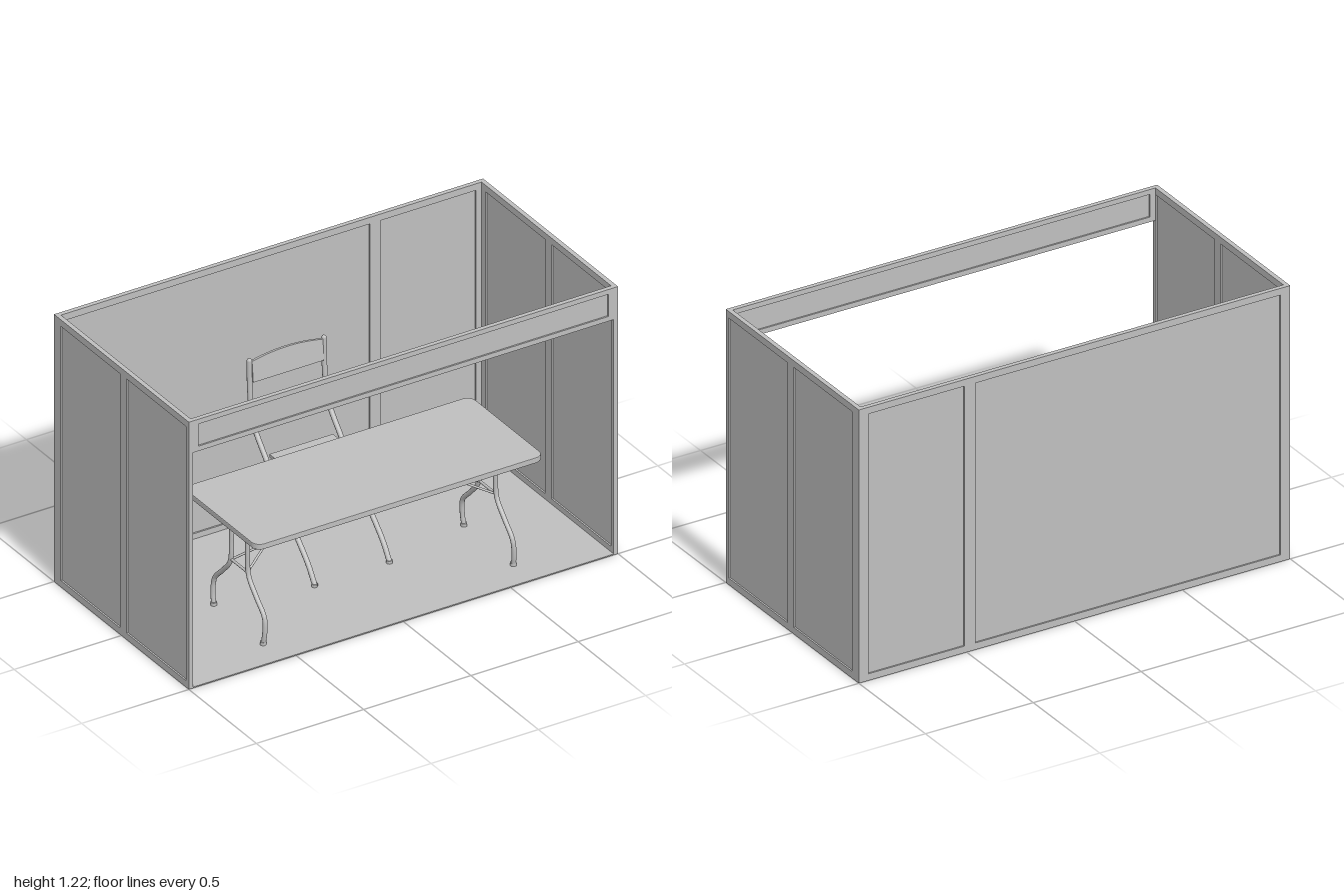
import * as THREE from 'three';

const grey = new THREE.MeshStandardMaterial({ color: 0xbfbfbf });
grey.name = 'grey';

function add(parent, name, geometry, x = 0, y = 0, z = 0) {
  const mesh = new THREE.Mesh(geometry, grey);
  mesh.name = name;
  mesh.position.set(x, y, z);
  parent.add(mesh);
  return mesh;
}

// box given by its lower and upper limits
function block(parent, name, [x0, x1], [y0, y1], [z0, z1]) {
  return add(parent, name, new THREE.BoxGeometry(x1 - x0, y1 - y0, z1 - z0),
    (x0 + x1) / 2, (y0 + y1) / 2, (z0 + z1) / 2);
}

function tube(parent, name, points, radius, segments = 24) {
  const curve = new THREE.CatmullRomCurve3(points.map(p => new THREE.Vector3(...p)));
  return add(parent, name, new THREE.TubeGeometry(curve, segments, radius, 10));
}

function rod(parent, name, a, b, radius) {
  const from = new THREE.Vector3(...a), to = new THREE.Vector3(...b);
  const mesh = add(parent, name, new THREE.CylinderGeometry(radius, radius, from.distanceTo(to), 10));
  mesh.position.copy(from).add(to).multiplyScalar(0.5);
  mesh.quaternion.setFromUnitVectors(new THREE.Vector3(0, 1, 0), to.sub(from).normalize());
  return mesh;
}

// framed wall in the xy plane; openings lists the [start, end] of each recessed panel
function framedWall(name, [x0, x1], [y0, y1], rail, openings) {
  const wall = new THREE.Group();
  wall.name = name;
  const depth = [-0.01, 0.01];
  block(wall, 'bottomRail', [x0, x1], [y0, y0 + rail], depth);
  block(wall, 'topRail', [x0, x1], [y1 - rail, y1], depth);
  const edges = [x0, ...openings.flat(), x1];
  for (let i = 0; i < edges.length; i += 2) {
    block(wall, 'upright', [edges[i], edges[i + 1]], [y0 + rail, y1 - rail], depth);
  }
  for (const span of openings) block(wall, 'panel', span, [y0 + rail, y1 - rail], [-0.003, 0.003]);
  return wall;
}

function buildBooth() {
  const booth = new THREE.Group();
  booth.name = 'booth';
  block(booth, 'floor', [-0.99, 0.99], [0, 0.005], [-0.49, 0.5]);

  const back = framedWall('backWall', [-0.98, 0.98], [0, 1.22], 0.03, [[-0.955, 0.46], [0.51, 0.955]]);
  back.position.z = -0.49;
  const fascia = framedWall('frontFascia', [-0.98, 0.98], [1.075, 1.22], 0.022, [[-0.955, 0.955]]);
  fascia.position.z = 0.49;
  booth.add(back, fascia);

  for (const side of [-1, 1]) {
    const wall = framedWall(side > 0 ? 'leftWall' : 'rightWall', [-0.5, 0.5], [0, 1.22], 0.03,
      [[-0.478, -0.037], [0.01, 0.45]]);
    wall.rotation.y = Math.PI / 2;
    wall.position.x = side * 0.99;
    booth.add(wall);
  }
  return booth;
}

function buildTable() {
  const table = new THREE.Group();
  table.name = 'table';
  table.position.set(0.015, 0, 0.18);

  // rounded top
  const w = 0.668, d = 0.271, r = 0.035;
  const outline = new THREE.Shape();
  outline.absarc(w - r, d - r, r, 0, Math.PI / 2);
  outline.absarc(-w + r, d - r, r, Math.PI / 2, Math.PI);
  outline.absarc(-w + r, -d + r, r, Math.PI, Math.PI * 1.5);
  outline.absarc(w - r, -d + r, r, Math.PI * 1.5, Math.PI * 2);
  const top = new THREE.ExtrudeGeometry(outline, {
    depth: 0.019, bevelSize: 0.003, bevelThickness: 0.003, bevelSegments: 2, curveSegments: 8,
  });
  top.rotateX(Math.PI / 2);
  add(table, 'tableTop', top, 0, 0.522, 0);

  // bent legs, cross bars and braces
  for (const sx of [-1, 1]) {
    const x = sx * 0.578;
    for (const sz of [-1, 1]) {
      tube(table, 'tableLeg', [
        [x, 0.5, sz * 0.06], [x, 0.36, sz * 0.06], [x, 0.26, sz * 0.068],
        [x, 0.19, sz * 0.125], [x, 0.125, sz * 0.185], [x + sx * 0.003, 0.06, sz * 0.192],
        [x + sx * 0.005, 0.005, sz * 0.183],
      ], 0.01, 32);
      add(table, 'foot', new THREE.CylinderGeometry(0.013, 0.013, 0.018, 12), x + sx * 0.005, 0.01, sz * 0.183);
      rod(table, 'braceFork', [x, 0.272, sz * 0.06], [sx * 0.455, 0.335, 0], 0.005);
    }
    rod(table, 'lowerCrossBar', [x, 0.272, -0.07], [x, 0.272, 0.07], 0.006);
    rod(table, 'upperCrossBar', [x, 0.49, -0.2], [x, 0.49, 0.2], 0.009);
    rod(table, 'brace', [sx * 0.455, 0.335, 0], [sx * 0.075, 0.5, 0], 0.006);
  }
  return table;
}

function buildChair() {
  const chair = new THREE.Group();
  chair.name = 'foldingChair';
  chair.position.x = 0.02;

  for (const side of [-1, 1]) {
    // long rail from the backrest to the front foot
    const x = side * 0.174;
    tube(chair, 'sideRail', [
      [x, 0.795, -0.398], [x, 0.66, -0.393], [x, 0.53, -0.37], [x, 0.41, -0.275],
      [x, 0.2, -0.08], [x, 0.08, 0.04], [x, 0.006, 0.09],
    ], 0.011, 40);
    add(chair, 'railCap', new THREE.SphereGeometry(0.011, 10, 8), x, 0.795, -0.398);
    add(chair, 'frontFoot', new THREE.CylinderGeometry(0.013, 0.013, 0.016, 10), x, 0.01, 0.086);

    // rear leg and its pivot
    rod(chair, 'rearLeg', [side * 0.152, 0.4, -0.13], [side * 0.152, 0.008, -0.36], 0.01);
    block(chair, 'pivotBracket', [side * 0.17 - 0.014, side * 0.17 + 0.014], [0.36, 0.39], [-0.27, -0.13]);
  }
  rod(chair, 'rearLegBar', [-0.152, 0.1, -0.306], [0.152, 0.1, -0.306], 0.012);
  rod(chair, 'seatBar', [-0.17, 0.39, -0.135], [0.17, 0.39, -0.135], 0.01);
  block(chair, 'seat', [-0.148, 0.148], [0.4, 0.415], [-0.29, 0.03]);

  // arched backrest, leaning back slightly
  const shape = new THREE.Shape();
  shape.moveTo(-0.165, 0);
  shape.lineTo(0.165, 0);
  shape.lineTo(0.165, 0.092);
  shape.quadraticCurveTo(0, 0.128, -0.165, 0.092);
  const rest = add(chair, 'backrest',
    new THREE.ExtrudeGeometry(shape, { depth: 0.012, bevelEnabled: false, curveSegments: 16 }), 0, 0.7, -0.394);
  rest.rotation.x = -0.1;
  return chair;
}

export function createModel() {
  const model = new THREE.Group();
  model.name = 'exhibitionBooth';
  model.add(buildBooth(), buildTable(), buildChair());
  return model;
}
